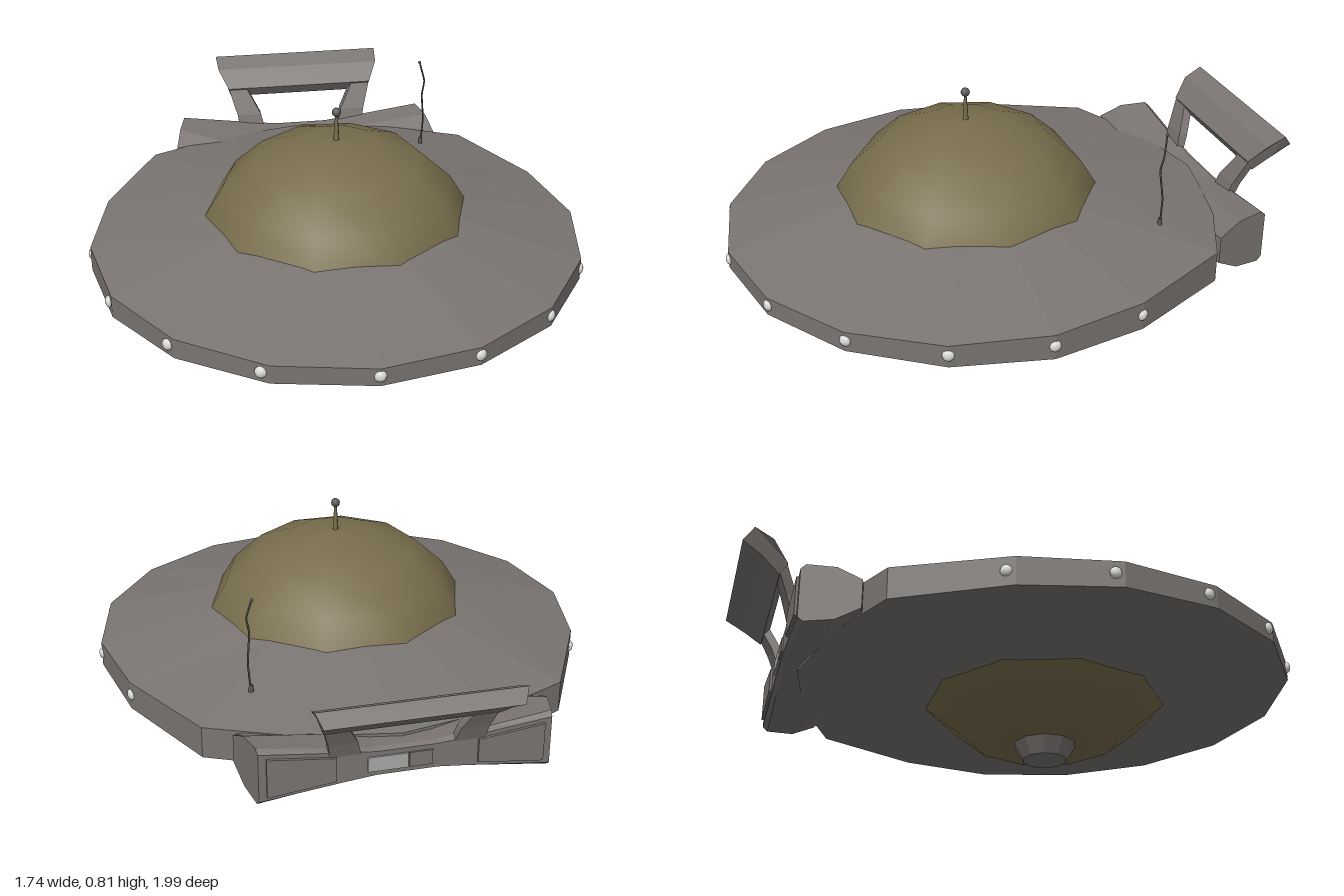
import * as THREE from 'three';

const V = (x, y, z) => new THREE.Vector3(x, y, z);
const CZ = 0.12;   // saucer axis
const CY = 0.294;  // mid height of the rim

const material = (name, color) => {
  const m = new THREE.MeshStandardMaterial({ color });
  m.name = name;
  return m;
};

// Facetted skin over a row of closed rings, capped at both ends.
function loft(rings) {
  const pos = [];
  const tri = (...pts) => pts.forEach((p) => pos.push(p.x, p.y, p.z));
  const n = rings[0].length;
  for (let i = 0; i + 1 < rings.length; i++) {
    for (let j = 0; j < n; j++) {
      const k = (j + 1) % n;
      const [a, b, c, d] = [rings[i][j], rings[i][k], rings[i + 1][k], rings[i + 1][j]];
      tri(a, b, c);
      tri(a, c, d);
    }
  }
  const first = rings[0], last = rings[rings.length - 1];
  for (let j = 1; j + 1 < n; j++) {
    tri(first[0], first[j + 1], first[j]);
    tri(last[0], last[j], last[j + 1]);
  }
  const g = new THREE.BufferGeometry();
  g.setAttribute('position', new THREE.Float32BufferAttribute(pos, 3));
  g.computeVertexNormals();
  return g;
}

// Ten-sided smooth dome around the saucer axis
const dome = (profile) => new THREE.LatheGeometry(
  profile.map(([r, y]) => new THREE.Vector2(r, y)), 10, Math.PI / 2);

export function createModel() {
  const group = new THREE.Group();
  const hull = material('hull grey', 0x7a7572);
  const olive = material('dome olive', 0x786d4c);
  const metal = material('dark metal', 0x5c5a58);
  const lamp = material('lamp white', 0xdcdcda);
  const plate = material('plate grey', 0xa9a9a6);

  const add = (name, geometry, mat, x = 0, y = 0, z = 0) => {
    const mesh = new THREE.Mesh(geometry, mat);
    mesh.name = name;
    mesh.position.set(x, y, z);
    group.add(mesh);
    return mesh;
  };

  // Saucer: sixteen sides, stretched and thickened toward the back
  const circle = (r, y) => Array.from({ length: 16 }, (_, j) => {
    const a = j * Math.PI / 8;
    return V(r * Math.sin(a), y, CZ + r * Math.cos(a));
  });
  const rim = (side) => circle(0.86, CY).map((p) => {
    if (p.z < -0.3) p.z -= p.z < -0.6 ? 0.02 : 0.08;
    p.y += side * (0.031 + 0.0155 * (0.98 - p.z));
    return p;
  });
  add('saucer', loft([
    circle(0.1, 0.205), circle(0.41, 0.205), rim(-1), rim(1),
    circle(0.46, 0.43), circle(0.4, 0.44), circle(0.1, 0.44),
  ]), hull);

  // Domes
  add('upperDome', dome([[0.475, 0.39], [0.46, 0.43], [0.405, 0.52], [0.295, 0.62],
    [0.15, 0.675], [0, 0.69]]), olive, 0, 0, CZ);
  add('lowerDome', dome([[0, 0.055], [0.12, 0.058], [0.27, 0.08], [0.42, 0.2], [0.43, 0.23]]),
    olive, 0, 0, CZ);

  // Nozzle underneath
  add('nozzle', new THREE.CylinderGeometry(0.115, 0.078, 0.066, 10).toNonIndexed(),
    hull, 0, 0.033, CZ).geometry.computeVertexNormals();

  // Knob antenna on the dome
  add('antennaStem', new THREE.CylinderGeometry(0.004, 0.011, 0.11, 8), olive, 0, 0.735, CZ);
  add('antennaKnob', new THREE.SphereGeometry(0.016, 10, 8), metal, 0, 0.79, CZ);

  // Crooked whip antenna
  const whip = new THREE.CatmullRomCurve3([
    V(0.422, 0.38, -0.44), V(0.43, 0.49, -0.44), V(0.42, 0.595, -0.43),
    V(0.43, 0.65, -0.437), V(0.413, 0.72, -0.452),
  ], false, 'catmullrom', 0.1);
  add('whipAntenna', new THREE.TubeGeometry(whip, 24, 0.0035, 5), metal);
  add('whipBase', new THREE.CylinderGeometry(0.007, 0.01, 0.04, 8), metal, 0.422, 0.39, -0.44);
  add('whipTip', new THREE.SphereGeometry(0.006, 8, 6), metal, 0.413, 0.72, -0.452);

  // Lamps around the rim
  for (let k = -5; k <= 5; k++) {
    const a = (k * 22.5 - (k < 0 ? 2 : 0)) * Math.PI / 180;
    const light = add('rimLamp', new THREE.SphereGeometry(0.02, 10, 8), lamp,
      0.857 * Math.sin(a), 0.297, CZ + 0.857 * Math.cos(a));
    light.rotation.y = a;
    light.scale.z = 0.65;
  }

  // Tail block: bow-tie shaped, narrow in the middle and flared at the ends
  const tail = [[-0.475, 0.1, -0.63], [-0.2, 0.062, -0.56], [-0.1, 0.05, -0.55],
    [0.1, 0.05, -0.55], [0.2, 0.062, -0.56], [0.475, 0.1, -0.63]];
  add('tail', loft(tail.map(([x, h, front]) => [
    [0.85 * h, -0.822], [h, -0.805], [0.92 * h, -0.71], [0.05, front],
    [-0.05, front], [-0.92 * h, -0.71], [-h, -0.805], [-0.85 * h, -0.822],
  ].map(([y, z]) => V(x * (1 + (z + 0.82) * 0.48), CY + y, z)))), hull);

  // Trapezoid panels on the back of the tail
  const panel = (name, x0, h0, x1, h1, mat, depth = 0.009) => {
    const shape = new THREE.Shape([[x0, -h0], [x1, -h1], [x1, h1], [x0, h0]]
      .map(([x, y]) => new THREE.Vector2(x, y)));
    add(name, new THREE.ExtrudeGeometry(shape, { depth, bevelEnabled: false }),
      mat, 0, CY, -0.822 - depth);
  };
  panel('leftTailPanel', 0.23, 0.042, 0.45, 0.068, hull);
  panel('rightTailPanel', -0.45, 0.068, -0.23, 0.042, hull);
  panel('backPlate', 0, 0.026, 0.13, 0.026, plate, 0.006);
  panel('backCover', -0.08, 0.026, -0.005, 0.026, hull, 0.006);

  // Raised spoiler: bent bar on two leaning posts
  const bar = [[0.588, -0.965, 0.33], [0.555, -0.9, 0.325], [0.49, -0.845, 0.29],
    [0.45, -0.87, 0.28], [0.5, -0.93, 0.3], [0.545, -1, 0.31]];
  add('spoilerBar', loft([-1, 1].map((s) => bar.map(([y, z, w]) => V(s * w, y, z)))), hull);
  for (const s of [-1, 1]) {
    const ring = (y, inner, outer, front, back) => {
      const [l, r] = s > 0 ? [inner, outer] : [-outer, -inner];
      return [V(l, y, front), V(r, y, front), V(r, y, back), V(l, y, back)];
    };
    add(s > 0 ? 'leftSpoilerPost' : 'rightSpoilerPost', loft([
      ring(0.33, 0.15, 0.25, -0.79, -0.82),
      ring(0.39, 0.165, 0.26, -0.806, -0.84),
      ring(0.485, 0.215, 0.288, -0.846, -0.88),
    ]), hull);
  }
  return group;
}
